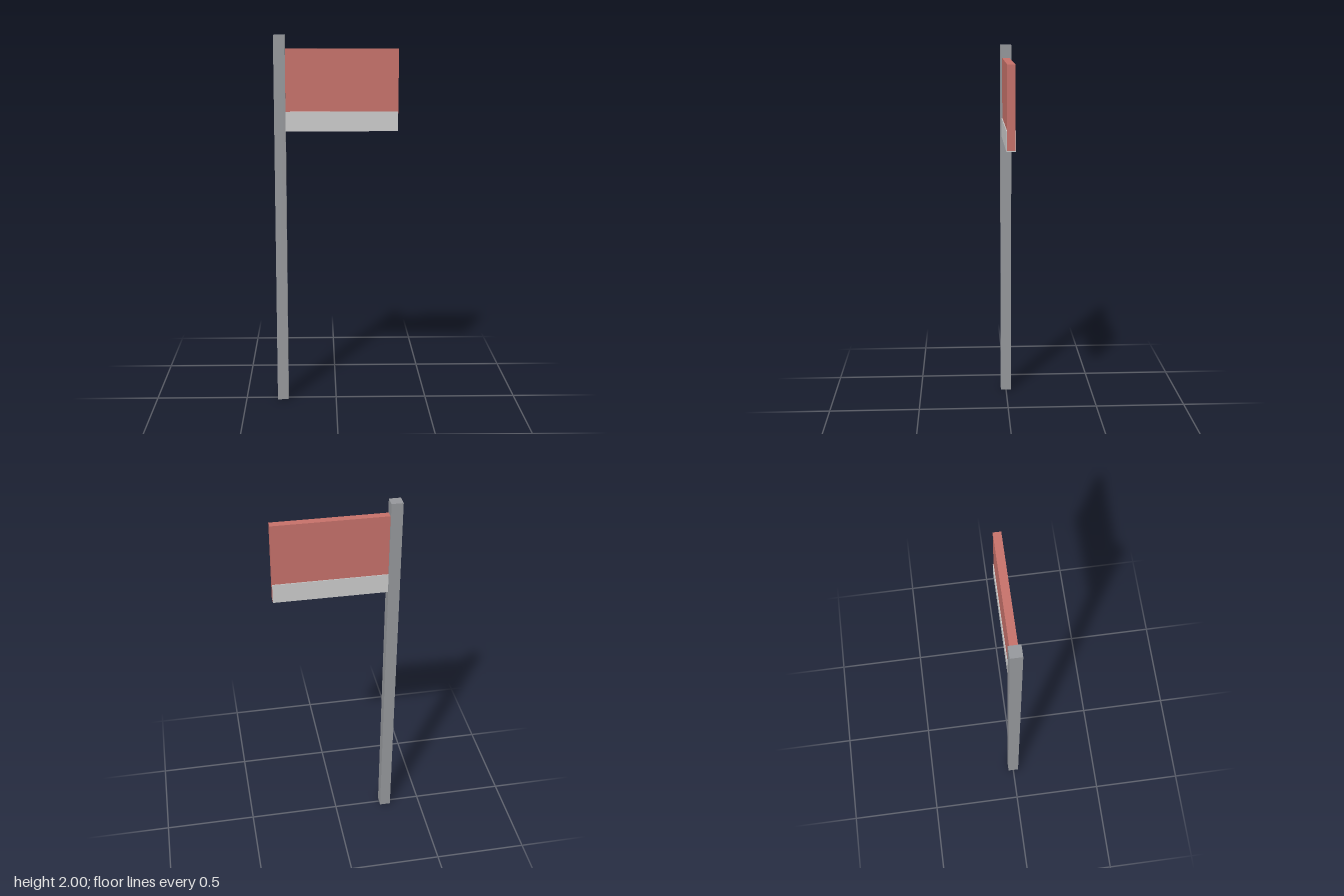
import * as THREE from 'three';

export function createModel() {
  const group = new THREE.Group();
  group.name = 'signpost';

  // Box given by its minimum and maximum corners, centred on z
  function addBox(name, color, x0, x1, y0, y1, depth) {
    const mesh = new THREE.Mesh(
      new THREE.BoxGeometry(x1 - x0, y1 - y0, depth),
      new THREE.MeshStandardMaterial({ color })
    );
    mesh.name = name;
    mesh.position.set((x0 + x1) / 2, (y0 + y1) / 2, 0);
    group.add(mesh);
  }

  // Square upright post
  addBox('post', 0x96989c, -0.326, -0.266, 0, 2, 0.06);
  // Red board fixed to the side of the post
  addBox('signBoard', 0xc6716a, -0.266, 0.326, 1.508, 1.93, 0.04);
  // Pale band wrapped around the lower edge of the board
  addBox('lowerBand', 0xcccccc, -0.266, 0.3255, 1.502, 1.605, 0.048);

  return group;
}
